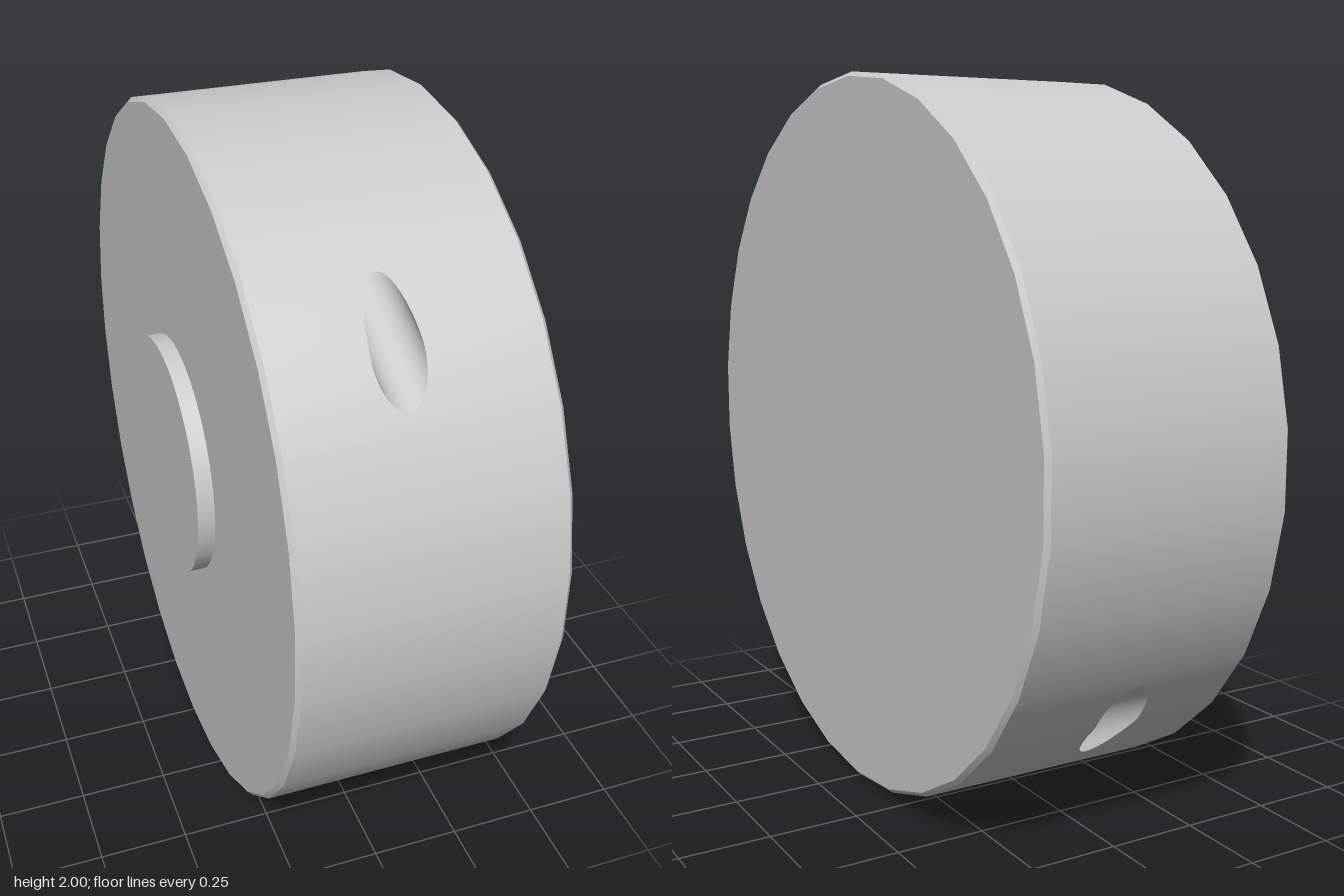
import * as THREE from 'three';

const SIDES = 30, STEP = (2 * Math.PI) / SIDES, RAD = Math.PI / 180;
const X0 = -0.333, X1 = 0.378, BEVEL = 0.012;   // drum ends and edge bevel
const HOLE = { x: -0.006, r: 0.067, off: 0.903, end: 0.08, tilt: 24 * RAD };
const PATCH = { from: 30 * RAD, to: 54 * RAD };  // rim sector that carries a hole

// Radius of the many-sided rim at an angle measured from +z towards +y
function rimRadius(a) {
  const local = (((a - 30 * RAD) % STEP) + STEP) % STEP - STEP / 2;
  return Math.cos(STEP / 2) / Math.cos(local);
}
function rimPoint(x, a) {
  const r = rimRadius(a);
  return [x, r * Math.sin(a), r * Math.cos(a)];
}

// Grid surface facing du x dv; radial normals on request
function surface(point, nu, nv, radial) {
  const pos = [], nor = [], idx = [];
  for (let i = 0; i <= nu; i++) for (let j = 0; j <= nv; j++) {
    const p = point(i / nu, j / nv), l = Math.hypot(p[1], p[2]);
    pos.push(...p);
    nor.push(0, p[1] / l, p[2] / l);
    if (i < nu && j < nv) {
      const a = i * (nv + 1) + j, b = a + nv + 1;
      idx.push(a, b, a + 1, b, b + 1, a + 1);
    }
  }
  const g = new THREE.BufferGeometry();
  g.setAttribute('position', new THREE.Float32BufferAttribute(pos, 3));
  g.setIndex(idx);
  if (radial) g.setAttribute('normal', new THREE.Float32BufferAttribute(nor, 3));
  else g.computeVertexNormals();
  return g;
}

// Point of the slanted hole: x across, off along its normal, s along its axis
function holePoint(phi, s, k = 1) {
  const off = HOLE.off + k * HOLE.r * Math.sin(phi);
  const c = Math.cos(HOLE.tilt), t = Math.sin(HOLE.tilt);
  return [HOLE.x + k * HOLE.r * Math.cos(phi), off * c - s * t, off * t + s * c];
}
// Where the hole wall meets the rim
function holeMouth(phi) {
  const off = HOLE.off + HOLE.r * Math.sin(phi);
  let r = 1, p;
  for (let i = 0; i < 6; i++) {
    p = holePoint(phi, Math.sqrt(r * r - off * off));
    r = rimRadius(Math.atan2(p[1], p[2]));
  }
  return p;
}

export function createModel() {
  const group = new THREE.Group();
  const mat = new THREE.MeshStandardMaterial({ color: 0xcccccc });
  const add = (parent, name, geo) => {
    const m = new THREE.Mesh(geo, mat);
    m.name = name;
    parent.add(m);
    return m;
  };
  // Cylinder lying along x, from xa (radius ra) to xb (radius rb)
  const drum = (ra, rb, xa, xb, sides, open) =>
    new THREE.CylinderGeometry(rb, ra, xb - xa, sides, 1, open, Math.PI / sides)
      .rotateZ(-Math.PI / 2).translate((xa + xb) / 2, 0, 0);

  const body = new THREE.Group();
  body.name = 'body';
  body.position.y = 1;
  group.add(body);

  const xa = X0 + BEVEL, xb = X1 - BEVEL;
  const midX = (xa + xb) / 2, midA = (PATCH.from + PATCH.to) / 2;

  // Two identical halves, turned half a revolution about the drum axis
  for (let h = 0; h < 2; h++) {
    const half = new THREE.Group();
    half.name = h ? 'rearHalf' : 'frontHalf';
    half.rotation.x = h * Math.PI;
    body.add(half);

    // Plain part of the rim
    add(half, 'rim', surface((u, v) =>
      rimPoint(xa + u * (xb - xa), PATCH.to + v * 13 * STEP), 1, 13, true));

    // Rim sector around the hole, blending from its mouth to a rectangle
    add(half, 'rimAroundHole', surface((u, v) => {
      const phi = v * 2 * Math.PI, c = Math.cos(phi), s = Math.sin(phi);
      const m = Math.max(Math.abs(c), Math.abs(s));
      const p = holeMouth(phi), a = Math.atan2(p[1], p[2]);
      const ex = midX + (c / m) * (xb - xa) / 2;
      const ea = midA + (s / m) * (PATCH.to - PATCH.from) / 2;
      return rimPoint(p[0] + (ex - p[0]) * u, a + (ea - a) * u);
    }, 8, 64, true));

    // Blind slanted hole
    add(half, 'holeWall', surface((u, v) => {
      const phi = v * 2 * Math.PI, e = holePoint(phi, HOLE.end), p = holeMouth(phi);
      return e.map((q, i) => q + (p[i] - q) * u);
    }, 4, 64));
    add(half, 'holeEnd', surface((u, v) =>
      holePoint(v * 2 * Math.PI, HOLE.end, u), 1, 64));
  }

  // Bevelled edges and flat end faces
  const inner = 1 - BEVEL;
  add(body, 'leftBevel', drum(1, inner, xb, X1, SIDES, true));
  add(body, 'rightBevel', drum(inner, 1, X0, xa, SIDES, true));
  for (const side of [1, -1]) {
    const face = new THREE.CircleGeometry(inner, SIDES, Math.PI / 2)
      .rotateY(side * Math.PI / 2).translate(side > 0 ? X1 : X0, 0, 0);
    add(body, side > 0 ? 'leftFace' : 'rightFace', face);
  }

  // Low round boss on the right face
  add(body, 'boss', drum(0.343, 0.343, -0.38, X0 + 0.005, 36, false));

  return group;
}
